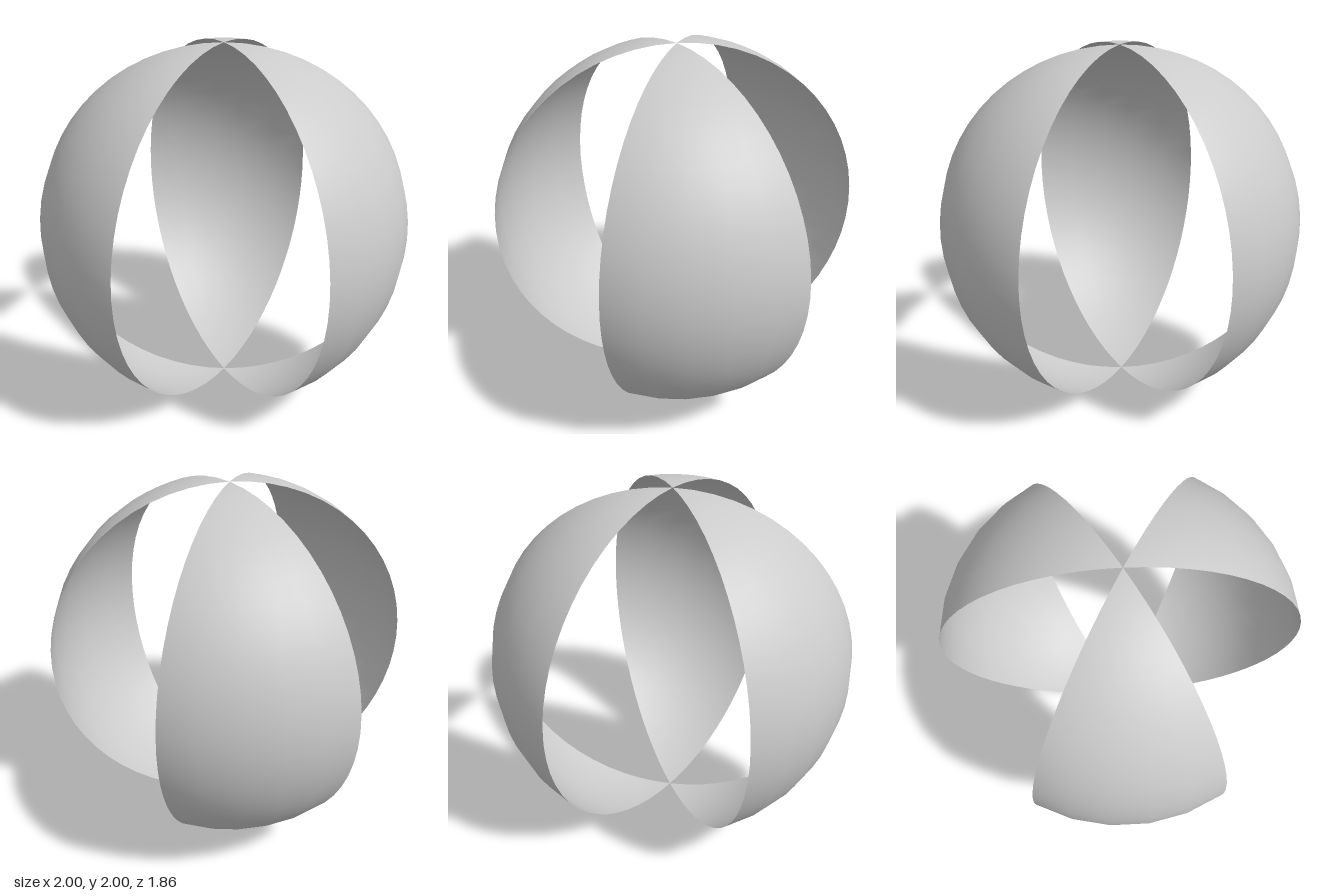
import * as THREE from 'three';

export function createModel() {
  const group = new THREE.Group();
  group.name = 'slicedSphere';
  const material = new THREE.MeshStandardMaterial({ color: 0xcccccc, side: THREE.DoubleSide });

  // Three 60-degree sphere slices with equal gaps, touching at the poles
  const names = ['frontRightSlice', 'frontLeftSlice', 'backSlice'];
  const step = (2 * Math.PI) / names.length;
  names.forEach((name, i) => {
    const slice = new THREE.Mesh(
      new THREE.SphereGeometry(1, 5, 30, i * step, step / 2),
      material
    );
    slice.name = name;
    slice.position.set(0, 1, 0.064);
    group.add(slice);
  });

  return group;
}
